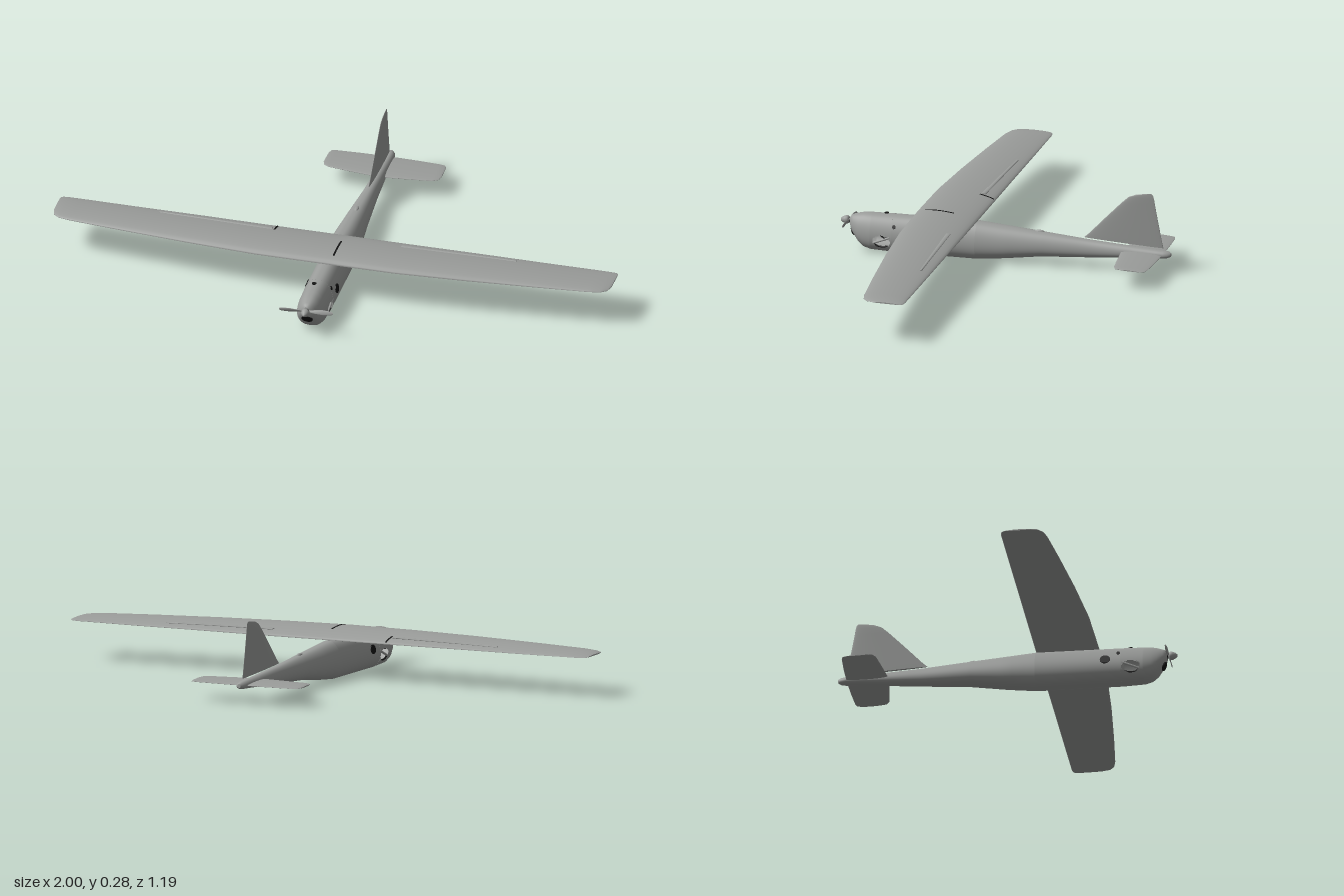
import * as THREE from 'three';

const grey = new THREE.MeshStandardMaterial({ color: 0x9b9d9b, side: THREE.DoubleSide });
grey.name = 'airframe grey';
const black = new THREE.MeshStandardMaterial({ color: 0x141414 });
black.name = 'vent black';

// Skin a row of closed rings, with flat end caps; skip(x, y, z) leaves out faces for openings
function loft(rings, skip) {
  const n = rings[0].length, pos = [], idx = [];
  rings.forEach(r => r.forEach(p => pos.push(...p)));
  for (let i = 0; i < rings.length - 1; i++) {
    for (let j = 0; j < n; j++) {
      const k = (j + 1) % n, a = i * n + j, b = i * n + k, c = a + n, d = b + n;
      const p = rings[i][j], q = rings[i + 1][k];
      if (skip && skip((p[0] + q[0]) / 2, (p[1] + q[1]) / 2, (p[2] + q[2]) / 2)) continue;
      idx.push(a, c, b, b, c, d);
    }
  }
  [rings[0], rings[rings.length - 1]].forEach((r, end) => {
    const start = pos.length / 3;
    r.forEach(p => pos.push(...p));
    for (let j = 1; j < n - 1; j++) {
      idx.push(start, start + (end ? j + 1 : j), start + (end ? j : j + 1));
    }
  });
  const g = new THREE.BufferGeometry();
  g.setAttribute('position', new THREE.Float32BufferAttribute(pos, 3));
  g.setIndex(idx);
  g.computeVertexNormals();
  return g;
}

// Linear lookup in rows sorted by falling first value
function lookup(rows, s) {
  let i = 0;
  while (i < rows.length - 2 && s < rows[i + 1][0]) i++;
  const f = THREE.MathUtils.clamp((rows[i][0] - s) / (rows[i][0] - rows[i + 1][0]), 0, 1);
  return rows[i].map((v, k) => v + (rows[i + 1][k] - v) * f);
}

// Fuselage stations: z, bottom, top, half width
const BODY = [
  [0.558, 0.083, 0.112, 0.012], [0.553, 0.07, 0.119, 0.022], [0.543, 0.053, 0.123, 0.031],
  [0.525, 0.027, 0.128, 0.041], [0.505, 0.011, 0.132, 0.047], [0.48, 0.004, 0.133, 0.051],
  [0.4, 0.001, 0.134, 0.054], [0.1, 0.001, 0.135, 0.054], [0, 0.011, 0.126, 0.049],
  [-0.13, 0.028, 0.115, 0.039], [-0.3, 0.038, 0.1, 0.027], [-0.45, 0.049, 0.09, 0.021],
  [-0.565, 0.056, 0.083, 0.018], [-0.582, 0.058, 0.081, 0.014], [-0.592, 0.063, 0.076, 0.006],
];
function bodyPoint(z, t) {
  const [, lo, hi, w] = lookup(BODY, z), s = Math.sin(t), c = Math.cos(t);
  return [w * Math.sign(c) * Math.abs(c) ** 0.8 * (1 - 0.18 * s), (lo + hi) / 2 + (hi - lo) / 2 * s, z];
}
function bodyX(z, y) {
  const [, lo, hi] = lookup(BODY, z);
  return bodyPoint(z, Math.asin((2 * y - lo - hi) / (hi - lo)))[0];
}

// Airfoil outline from the trailing edge: [chord fraction, height, 0..1]
function airfoil(lower, n = 32) {
  return Array.from({ length: n }, (_, i) => {
    const t = i / n * Math.PI * 2, f = (1 - Math.cos(t)) / 2, s = Math.sin(t);
    return [f, s * (0.7 + 0.4 * f) * (s < 0 ? lower : 1)];
  });
}
// Mirrored flying surface from stations: x, leading z, trailing z, thickness, trailing y, leading y
function surface(half, lower) {
  const all = [...half, ...half.slice(0, -1).reverse().map(([x, ...r]) => [-x, ...r])];
  return loft(all.map(([x, lead, trail, th, y0, y1]) => airfoil(lower).map(([f, v]) =>
    [x, y0 + (y1 - y0) * f + th * v, trail + (lead - trail) * f])));
}

const WING = [
  [1, 0.205, 0.112, 0.004, 0.141, 0.143], [0.992, 0.232, 0.103, 0.007, 0.14, 0.143],
  [0.97, 0.248, 0.1, 0.01, 0.139, 0.143], [0.93, 0.257, 0.1, 0.012, 0.139, 0.144],
  [0.75, 0.276, 0.1, 0.017, 0.138, 0.145], [0.5, 0.299, 0.1, 0.022, 0.138, 0.146],
  [0.25, 0.316, 0.1, 0.025, 0.137, 0.147], [0, 0.318, 0.1, 0.027, 0.137, 0.148],
];
function wingTop(x, z) {
  const [, lead, trail, th, y0, y1] = lookup(WING, Math.abs(x));
  const f = (z - trail) / (lead - trail);
  return y0 + (y1 - y0) * f + th * 2 * Math.sqrt(f * (1 - f)) * (0.7 + 0.4 * f);
}

export function createModel() {
  const model = new THREE.Group();
  const add = (name, geo, mat = grey, pos = [0, 0, 0]) => {
    const m = new THREE.Mesh(geo, mat);
    m.name = name;
    m.position.set(...pos);
    model.add(m);
    return m;
  };

  // Fuselage with an open cooling port through each cheek
  const zs = BODY.map(r => r[0]);
  for (let z = 0.475; z > 0.395; z -= 0.003) zs.push(z);
  for (let z = 0.38; z > -0.56; z -= 0.04) zs.push(z);
  const stations = [...new Set(zs)].sort((a, b) => b - a);
  const port = (x, y, z) => Math.abs(x) > 0.02 && ((z - 0.435) / 0.032) ** 2 + ((y - 0.046) / 0.021) ** 2 < 1;
  add('fuselage', loft(stations.map(z => Array.from({ length: 96 }, (_, j) =>
    bodyPoint(z, j / 96 * Math.PI * 2))), port));

  // Thin seam behind the cowling
  add('cowlSeam', loft([0.4008, 0.3992].map(z => Array.from({ length: 48 }, (_, j) => {
    const [x, y] = bodyPoint(z, j / 48 * Math.PI * 2);
    return [x * 1.008, 0.067 + (y - 0.067) * 1.006, z];
  })).map(r => r.map(p => [p[0], Math.max(p[1], 0), p[2]]))), grey);

  // Flat dark plates laid against the skin
  const plate = (name, pos, normal, rx, ry) => {
    const g = new THREE.CylinderGeometry(1, 1, 0.005, 20).rotateX(Math.PI / 2).scale(rx, ry, 1);
    const m = add(name, g, black, pos);
    m.lookAt(new THREE.Vector3(...pos).add(new THREE.Vector3(...normal)));
  };
  for (const side of [1, -1]) {
    for (const [name, z, y, rz, ry] of [['sideVent', 0.346, 0.075, 0.018, 0.016], ['cowlScrew', 0.391, 0.1, 0.006, 0.007]]) {
      const slope = (bodyX(z, y - 0.01) - bodyX(z, y + 0.01)) / 0.02;
      plate(name, [side * bodyX(z, y), y, z], [side, slope, 0], rz, ry);
    }
    // Strut and lower lip in the cheek port
    const rod = (name, pts, r, mat) => add(name, new THREE.TubeGeometry(new THREE.CatmullRomCurve3(
      pts.map(([z, y]) => new THREE.Vector3(side * (bodyX(z, y) - 0.003), y, z))), 12, r, 8), mat);
    rod('portStrut', [[0.465, 0.038], [0.435, 0.05], [0.405, 0.062]], 0.004, grey);
    rod('portLip', [[0.464, 0.036], [0.45, 0.028], [0.43, 0.026], [0.41, 0.031]], 0.003, black);
  }
  plate('upperNoseInlet', [0, 0.098, 0.557], [0, 0, 1], 0.011, 0.01);
  plate('lowerNoseInlet', [0, 0.061, 0.547], [0, -0.5, 1], 0.02, 0.016);
  plate('topScrew', [-0.006, 0.133, 0.43], [0, 1, 0], 0.008, 0.008);

  // Wing, flat underneath
  add('wing', surface(WING, 0.2));
  for (const side of [1, -1]) {
    // Raised flap hinge fairing, following the wing skin
    const rings = Array.from({ length: 9 }, (_, i) => {
      const x = side > 0 ? 0.64 - i * 0.051 : -0.232 - i * 0.051;
      const a = (Math.abs(x) - 0.232) / 0.41, z = 0.145 - a * 0.012, w = 0.009 - a * 0.005;
      return Array.from({ length: 10 }, (_, j) => {
        const t = j / 10 * Math.PI * 2;
        return [x, wingTop(x, z) + 0.003 * Math.sin(t), z - w * Math.cos(t)];
      });
    });
    add('flapFairing', loft(rings));
  }
  // Slits on the wing skin
  const slit = (name, x, z0, z1, w) => {
    const rings = Array.from({ length: 8 }, (_, i) => {
      const z = z1 + (z0 - z1) * i / 7, y = wingTop(x, z);
      return [[x - w, y - 0.001, z], [x + w, y - 0.001, z], [x + w, y + 0.001, z], [x - w, y + 0.001, z]];
    });
    add(name, loft(rings), black);
  };
  slit('centreSlit', 0.025, 0.18, 0.285, 0.003);
  slit('flapSlit', -0.222, 0.105, 0.155, 0.003);

  // Tailplane
  add('tailplane', surface([
    [0.21, -0.465, -0.535, 0.002, 0.067, 0.07], [0.204, -0.447, -0.552, 0.004, 0.067, 0.07],
    [0.185, -0.437, -0.557, 0.005, 0.067, 0.07], [0.1, -0.426, -0.561, 0.006, 0.067, 0.07],
    [0, -0.415, -0.563, 0.007, 0.067, 0.07]], 0.8));

  // Fin: leading y, leading z, trailing y, trailing z, half thickness
  add('fin', loft([
    [0.282, -0.49, 0.285, -0.521, 0.001], [0.278, -0.465, 0.279, -0.528, 0.002],
    [0.268, -0.44, 0.268, -0.531, 0.003], [0.245, -0.415, 0.245, -0.535, 0.0035],
    [0.19, -0.361, 0.18, -0.547, 0.004], [0.125, -0.299, 0.11, -0.561, 0.005],
    [0.108, -0.28, 0.091, -0.565, 0.005],
  ].map(([y1, z1, y0, z0, th]) => airfoil(1).map(([f, v]) => [-th * v, y0 + (y1 - y0) * f, z0 + (z1 - z0) * f]))));

  // Small bump on the spine
  add('spineBump', new THREE.SphereGeometry(1, 16, 10).scale(0.008, 0.006, 0.018), grey, [0, 0.115, -0.12]);

  // Propeller: spinner, shaft and two twisted blades
  const spinner = [[0, -0.012], [0.011, -0.012], [0.015, -0.006], [0.014, 0.002], [0.01, 0.011], [0.005, 0.017], [0, 0.019]];
  add('spinner', new THREE.LatheGeometry(spinner.map(p => new THREE.Vector2(...p)), 24).rotateX(Math.PI / 2), grey, [0, 0.1, 0.575]);
  add('shaft', new THREE.CylinderGeometry(0.005, 0.005, 0.03, 12).rotateX(Math.PI / 2), grey, [0, 0.1, 0.56]);
  const blade = loft([[0.097, 0.003, 0.25], [0.09, 0.007, 0.3], [0.06, 0.01, 0.5], [0.03, 0.008, 0.8], [0.008, 0.004, 1]]
    .map(([x, w, twist]) => airfoil(1, 12).map(([f, v]) => {
      const c = (0.5 - f) * 2 * w, h = v * 0.0018;
      return [x, c * Math.cos(twist) + h * Math.sin(twist), -c * Math.sin(twist) * 0.6 + h * Math.cos(twist)];
    })).map(r => r.reverse()));
  for (const side of [0, 1]) add('propellerBlade', blade, grey, [0, 0.1, 0.562]).rotation.z = side * Math.PI + 0.05;

  return model;
}
